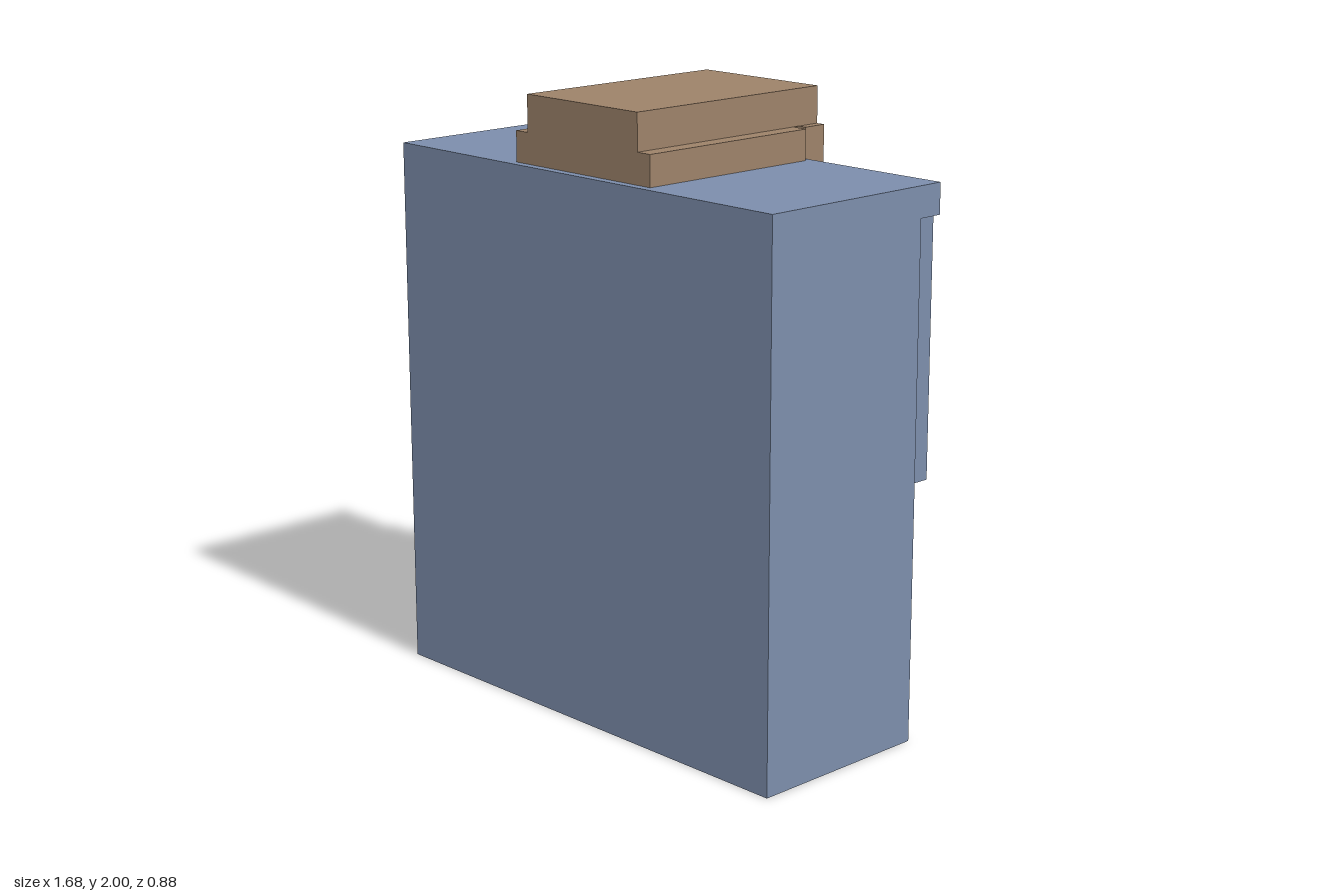
import * as THREE from 'three';

const material = (name, color) => {
  const m = new THREE.MeshStandardMaterial({ color });
  m.name = name;
  return m;
};

export function createModel() {
  const blue = material('blue cloth', 0x7c8dab);
  const brown = material('brown leather', 0x9c8269);
  const grey = material('grey metal', 0x90959a);
  const cream = material('cream label', 0xb5b09d);

  const model = new THREE.Group();
  model.name = 'satchel';

  // Box centred on x0, given by its y and z limits
  const block = (name, mat, width, [y0, y1], [z0, z1], x0 = 0) => {
    const mesh = new THREE.Mesh(new THREE.BoxGeometry(width, y1 - y0, z1 - z0), mat);
    mesh.position.set(x0, (y0 + y1) / 2, (z0 + z1) / 2);
    mesh.name = name;
    model.add(mesh);
  };

  // Body with overhanging lid: side profile (z, y) extruded across x
  const profile = [[0.44, 0], [0.44, 1.78], [-0.285, 1.78], [-0.285, 1.68], [-0.2, 1.68], [-0.2, 0]];
  const shape = new THREE.Shape(profile.map(([z, y]) => new THREE.Vector2(-z, y)));
  const bodyGeometry = new THREE.ExtrudeGeometry(shape, { depth: 1.68, bevelEnabled: false });
  bodyGeometry.translate(0, 0, -0.84).rotateY(Math.PI / 2);
  const body = new THREE.Mesh(bodyGeometry, blue);
  body.name = 'body';
  model.add(body);

  // Flap hanging below the lid
  block('flap', blue, 1.63, [0.84, 1.68], [-0.285, -0.2]);

  // Strap over the top and down the flap
  block('strapBase', brown, 0.61, [1.78, 1.88], [-0.26, 0.41]);
  block('strapTop', brown, 0.5, [1.88, 2], [-0.37, 0.41]);
  block('strapDrop', brown, 0.56, [1.12, 1.88], [-0.37, -0.285]);

  // Buckle and label
  block('buckle', grey, 0.25, [1.12, 1.26], [-0.44, -0.37]);
  block('label', cream, 0.335, [1.29, 1.53], [-0.32, -0.285], -0.588);

  return model;
}
